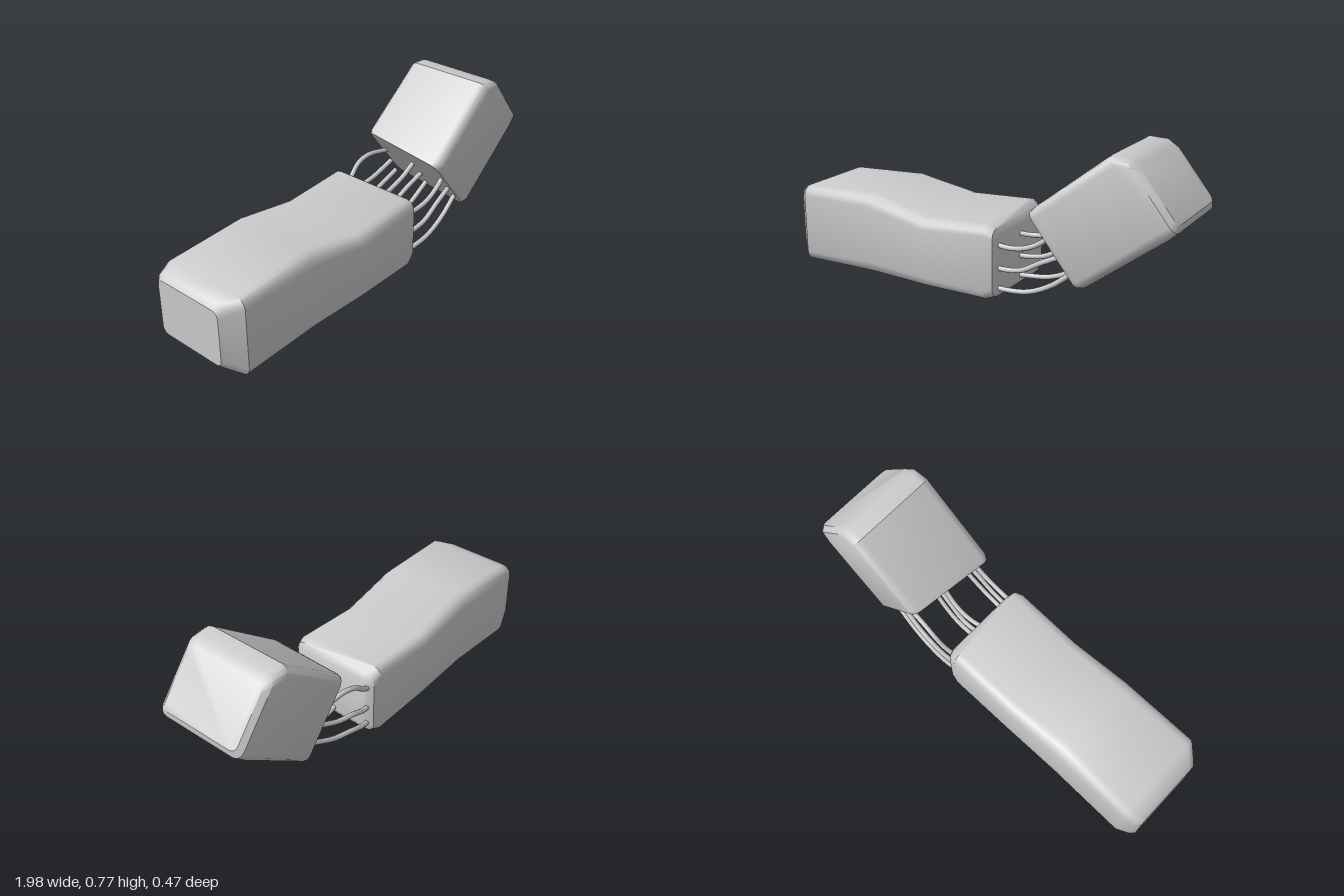
import * as THREE from 'three';
import { toCreasedNormals } from 'three/addons/utils/BufferGeometryUtils.js';

const material = new THREE.MeshStandardMaterial({ color: 0xcccccc });
const CORNER = 3; // segments per rounded corner

// Rounded rectangle in the y/z plane, counter-clockwise seen from +x.
// frontTop / backBottom shift those edges vertically to give dents and warps.
function ring({ x, y0, y1, zb = -0.235, zf = 0.235, r = 0.045, frontTop = 0, backBottom = 0, skew = 0 }) {
  const corners = [[zb + r, y0 + r, -90], [zb + r, y1 - r, 0], [zf - r, y1 - r, 90], [zf - r, y0 + r, 180]];
  // angle 0 points to -z, 90 points up
  const pts = [];
  corners.forEach(([cz, cy, start]) => {
    for (let k = 0; k <= CORNER; k++) {
      const a = THREE.MathUtils.degToRad(start + (90 * k) / CORNER);
      const z = cz - Math.cos(a) * r;
      let y = cy + Math.sin(a) * r;
      const front = (z - zb) / (zf - zb);
      if (cy > (y0 + y1) / 2) y += frontTop * front;
      else y += backBottom * (1 - front);
      pts.push([x + skew * (1 - front), y, z]);
    }
  });
  return pts;
}

// Skin a row of rings running along +x and close both ends
function loft(sections) {
  const rings = sections.map(ring);
  const n = rings[0].length;
  const pos = rings.flat(2);
  const idx = [];
  for (let i = 0; i < rings.length - 1; i++) {
    for (let j = 0; j < n; j++) {
      const k = (j + 1) % n;
      const a = i * n + j, b = i * n + k, c = b + n, d = a + n;
      idx.push(a, b, c, a, c, d);
    }
  }
  const last = (rings.length - 1) * n;
  for (let j = 1; j < n - 1; j++) {
    idx.push(0, j + 1, j);
    idx.push(last, last + j, last + j + 1);
  }
  const g = new THREE.BufferGeometry();
  g.setAttribute('position', new THREE.Float32BufferAttribute(pos, 3));
  g.setIndex(idx);
  return toCreasedNormals(g, 0.65);
}

function add(group, geometry, name) {
  const mesh = new THREE.Mesh(geometry, material);
  mesh.name = name;
  group.add(mesh);
  return mesh;
}

export function createModel() {
  const model = new THREE.Group();
  model.name = 'brokenBar';

  // Long block lying on the ground, slightly warped
  add(model, loft([
    { x: -1.0, y0: 0.08, y1: 0.35, zb: -0.2, zf: 0.16, r: 0.03 },
    { x: -0.98, y0: 0.06, y1: 0.375, zb: -0.22, zf: 0.18 },
    { x: -0.92, y0: 0.02, y1: 0.4, backBottom: -0.02 },
    { x: -0.53, y0: 0.025, y1: 0.43, r: 0.06, frontTop: -0.01 },
    { x: -0.22, y0: 0.022, y1: 0.38, r: 0.05, frontTop: -0.025 },
    { x: 0.11, y0: 0.03, y1: 0.4, frontTop: -0.02 },
    { x: 0.15, y0: 0.045, y1: 0.37, zb: -0.225, zf: 0.225 },
    { x: 0.165, y0: 0.07, y1: 0.34, zb: -0.2, zf: 0.2, r: 0.03 },
  ]), 'longBlock');

  // Short block, broken off and tilted up; its torn end is skewed
  const short = add(model, loft([
    { x: 0.0, y0: 0.0, y1: 0.388, zb: -0.225, zf: 0.215, r: 0.035, skew: 0.05 },
    { x: 0.03, y0: -0.01, y1: 0.39, zb: -0.238, zf: 0.228, r: 0.04, skew: 0.04 },
    { x: 0.475, y0: -0.018, y1: 0.388, zb: -0.238, zf: 0.225 },
    { x: 0.53, y0: -0.014, y1: 0.34, zb: -0.232, zf: 0.22, r: 0.04 },
    { x: 0.552, y0: 0.01, y1: 0.295, zb: -0.21, zf: 0.195, r: 0.03 },
  ]), 'shortBlock');
  short.position.set(0.56, 0.175, 0);
  short.rotation.z = THREE.MathUtils.degToRad(39);

  // Three rows of wires bridging the gap; each row has two bend shapes [x, y]
  const rows = [
    [[[0.14, 0.09], [0.2, 0.09], [0.31, 0.105], [0.42, 0.155], [0.53, 0.24]],
      [[0.14, 0.095], [0.2, 0.115], [0.29, 0.15], [0.4, 0.18], [0.53, 0.24]]],
    [[[0.14, 0.185], [0.2, 0.185], [0.28, 0.2], [0.37, 0.25], [0.49, 0.31]],
      [[0.14, 0.185], [0.2, 0.205], [0.28, 0.24], [0.37, 0.26], [0.49, 0.31]]],
    [[[0.14, 0.295], [0.2, 0.29], [0.28, 0.3], [0.36, 0.335], [0.45, 0.41]],
      [[0.14, 0.295], [0.2, 0.33], [0.26, 0.38], [0.33, 0.4], [0.45, 0.385]]],
  ];
  const columns = [ // start z, sideways drift, bend shape
    [0.185, 0.005, 0],
    [0.005, -0.02, 0],
    [-0.19, -0.02, 1],
  ];
  const wires = new THREE.Group();
  wires.name = 'wires';
  rows.forEach((row) => columns.forEach(([z, drift, bend]) => {
    const path = new THREE.CatmullRomCurve3(
      row[bend].map(([x, y], i) => new THREE.Vector3(x, y, z + drift * Math.sin((i / 4) * Math.PI))));
    add(wires, new THREE.TubeGeometry(path, 14, 0.012, 8), 'wire');
  }));
  model.add(wires);

  return model;
}
